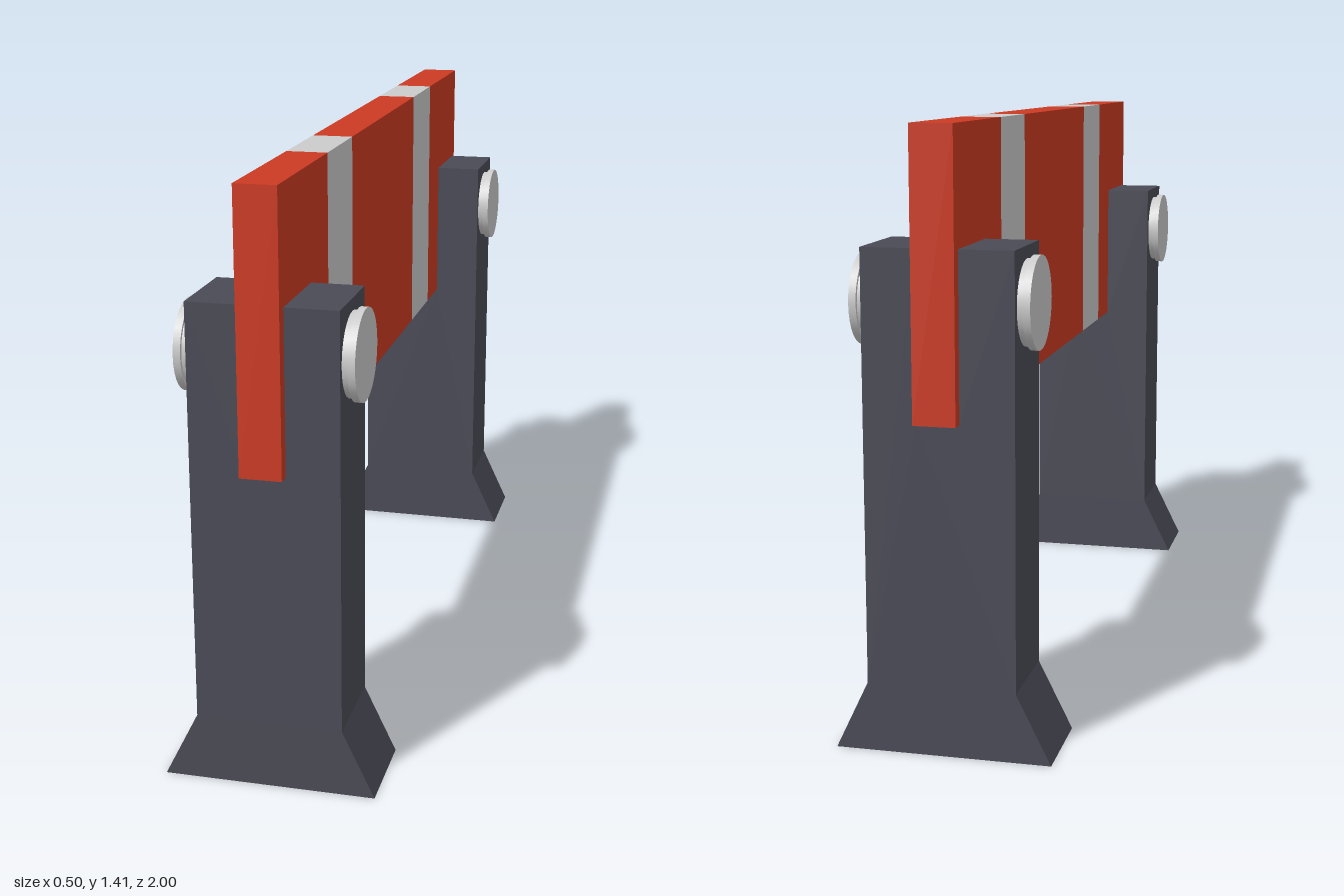
import * as THREE from 'three';

const red = new THREE.MeshStandardMaterial({ color: 0xcb3a23 });
red.name = 'signal red';
const white = new THREE.MeshStandardMaterial({ color: 0xcbcbcb });
white.name = 'pale grey';
const slate = new THREE.MeshStandardMaterial({ color: 0x4a4a56 });
slate.name = 'dark slate';

function addMesh(parent, name, geometry, material, x, y, z) {
  const mesh = new THREE.Mesh(geometry, material);
  mesh.name = name;
  mesh.position.set(x, y, z);
  parent.add(mesh);
  return mesh;
}

export function createModel() {
  const model = new THREE.Group();
  model.name = 'barrier';

  // Striped board, split along its length
  const board = new THREE.Group();
  board.name = 'board';
  model.add(board);
  const cuts = [-1, -0.597, -0.362, 0.358, 0.593, 1];
  for (let i = 0; i < cuts.length - 1; i++) {
    const length = cuts[i + 1] - cuts[i];
    const stripe = i % 2 === 1;
    addMesh(board, stripe ? 'whiteStripe' : 'redPanel', new THREE.BoxGeometry(0.097, 0.647, length),
      stripe ? white : red, 0.0025, 1.0875, (cuts[i] + cuts[i + 1]) / 2);
  }

  // Leg outline with a flared foot and a slot that holds the board
  const legShape = new THREE.Shape([
    [-0.25, 0], [0.25, 0], [0.174, 0.16], [0.174, 1.145], [0.051, 1.145], [0.051, 0.764],
    [-0.046, 0.764], [-0.046, 1.145], [-0.17, 1.145], [-0.17, 0.16],
  ].map(([x, y]) => new THREE.Vector2(x, y)));
  const legGeometry = new THREE.ExtrudeGeometry(legShape, { depth: 0.224, bevelEnabled: false });
  legGeometry.translate(0, 0, -0.112);

  // Round bolt: short neck and wider head
  const neckGeometry = new THREE.CylinderGeometry(0.097, 0.097, 0.016, 32);
  const headGeometry = new THREE.CylinderGeometry(0.105, 0.105, 0.017, 32);

  for (const side of [-1, 1]) {
    const support = new THREE.Group();
    support.name = side > 0 ? 'frontSupport' : 'backSupport';
    support.position.z = side * 0.857;
    model.add(support);
    addMesh(support, 'leg', legGeometry, slate, 0, 0, 0);
    for (const s of [-1, 1]) {
      const bolt = new THREE.Group();
      bolt.name = s > 0 ? 'leftBolt' : 'rightBolt';
      bolt.position.set(0.002 + s * 0.172, 1.02, 0.002);
      bolt.rotation.z = -s * Math.PI / 2;
      support.add(bolt);
      addMesh(bolt, 'boltNeck', neckGeometry, white, 0, 0.007, 0);
      addMesh(bolt, 'boltHead', headGeometry, white, 0, 0.0225, 0);
    }
  }
  return model;
}
